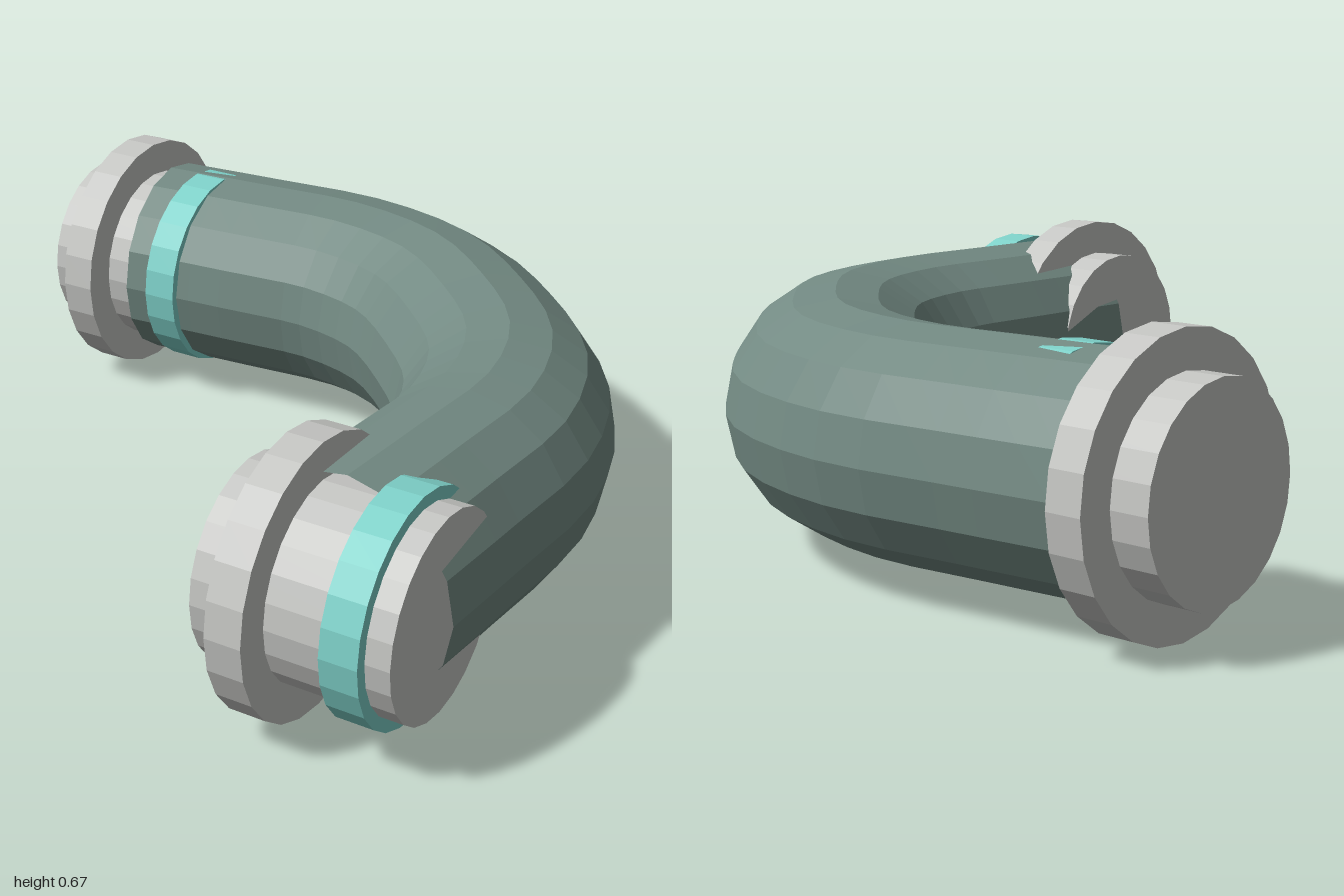
import * as THREE from 'three';

const mat = (name, color, side = THREE.FrontSide) => {
  const m = new THREE.MeshStandardMaterial({ color, side, flatShading: true });
  m.name = name;
  return m;
};

const Y = 0.335; // height of the pipe axis

export function createModel() {
  const model = new THREE.Group();
  model.name = 'pipeElbow';
  const grey = mat('light grey metal', 0xc6c7c4);
  const green = mat('grey green pipe', 0x738a83, THREE.DoubleSide);
  const teal = mat('teal band', 0x7fd2ca);

  // Bent pipe: half of its path, then the same half mirrored across the diagonal
  const half = [[-0.708, -0.67], [-0.4, -0.695], [-0.1, -0.711], [0.175, -0.632]];
  const mirrored = half.map(([x, z]) => [-z - 0.04, -x - 0.04]).reverse();
  const path = new THREE.CatmullRomCurve3(
    [...half, [0.405, -0.445], ...mirrored].map(([x, z]) => new THREE.Vector3(x, Y, z)));
  const pipe = new THREE.Mesh(new THREE.TubeGeometry(path, 24, 0.275, 16, false), green);
  pipe.name = 'bentPipe';
  model.add(pipe);

  // Collars, both lying along x: sleeve, wide flange and coloured band
  const addCollar = (name, x, z) => {
    const collar = new THREE.Group();
    collar.name = name;
    const disc = (part, radius, width, offset, material) => {
      const geo = new THREE.CylinderGeometry(radius, radius, width, 24).rotateZ(Math.PI / 2);
      const mesh = new THREE.Mesh(geo, material);
      mesh.name = part;
      mesh.position.x = offset;
      collar.add(mesh);
    };
    disc('sleeve', 0.244, 0.486, 0, grey);
    disc('flange', 0.335, 0.09, -0.103, grey);
    disc('band', 0.275, 0.092, 0.138, teal);
    collar.position.set(x, Y, z);
    model.add(collar);
  };
  addCollar('rearCollar', -0.708, -0.665);
  addCollar('frontCollar', 0.627, 0.665);

  return model;
}
